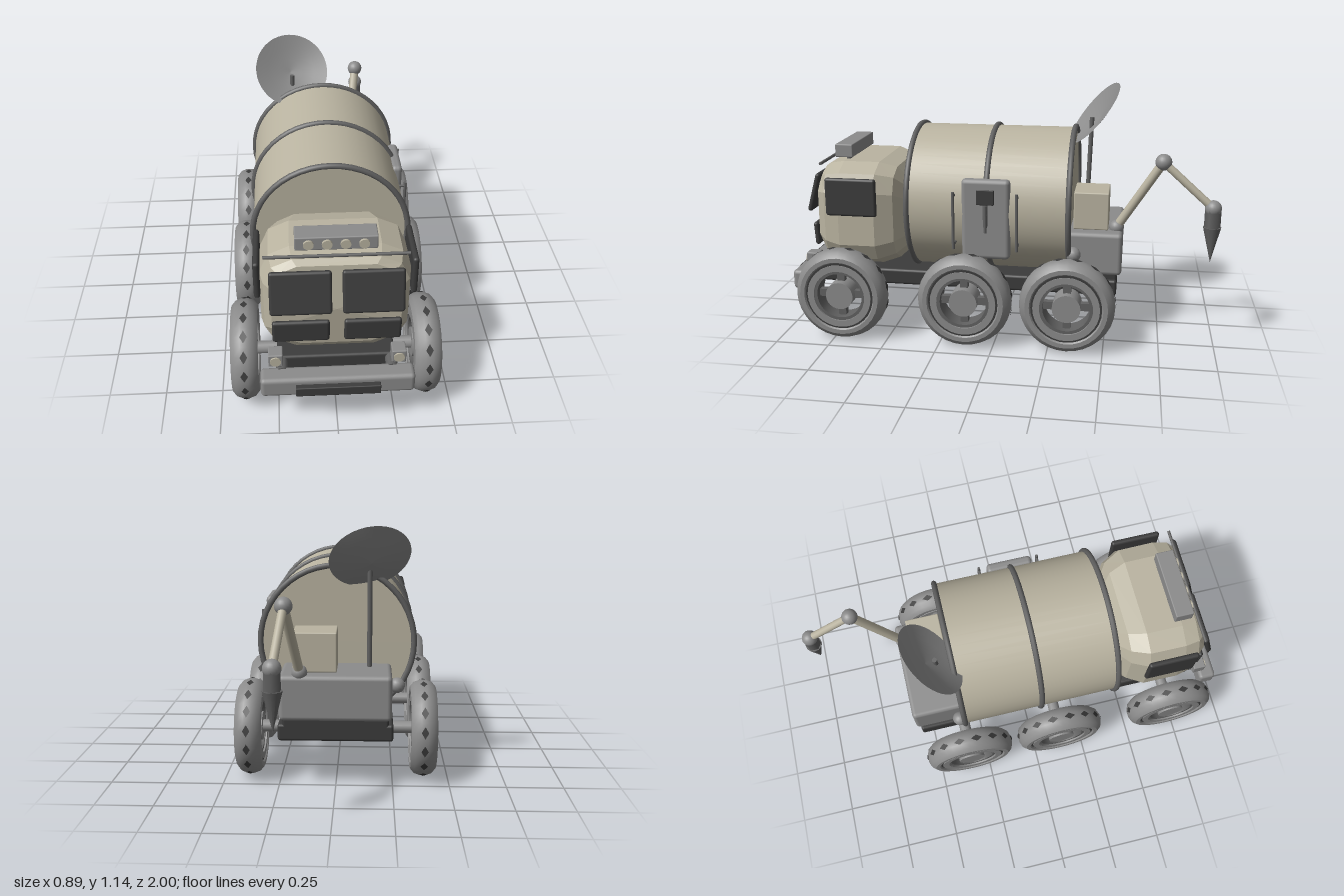
import * as THREE from 'three';
import { RoundedBoxGeometry } from 'three/addons/geometries/RoundedBoxGeometry.js';
import { toCreasedNormals } from 'three/addons/utils/BufferGeometryUtils.js';

const mat = (name, color, extra = {}) => new THREE.MeshStandardMaterial({ name, color, ...extra });

export function createModel() {
  const beige = mat('beige paint', 0xbab4a1);
  const beigeFlat = mat('beige paint', 0xbab4a1, { flatShading: true });
  const grey = mat('grey metal', 0x8c8c8c, { side: THREE.DoubleSide });
  const steel = mat('dark steel', 0x626262);
  const dark = mat('dark glass', 0x3c3c3c);
  const model = new THREE.Group();

  const add = (name, geo, material, x = 0, y = 0, z = 0, parent = model) => {
    const m = new THREE.Mesh(geo, material);
    m.name = name;
    m.position.set(x, y, z);
    parent.add(m);
    return m;
  };
  const box = (w, h, d, r = 0.012) => new RoundedBoxGeometry(w, h, d, 2, r);
  const cyl = (r, h, n = 16) => new THREE.CylinderGeometry(r, r, h, n);
  const rod = (name, a, b, r, material) => {
    const A = new THREE.Vector3(...a), B = new THREE.Vector3(...b);
    const m = add(name, cyl(r, A.distanceTo(B), 12), material);
    m.position.copy(A).add(B).multiplyScalar(0.5);
    m.quaternion.setFromUnitVectors(new THREE.Vector3(0, 1, 0), B.sub(A).normalize());
    return m;
  };

  // Chassis and rear deck
  add('chassis', box(0.5, 0.075, 1.4), dark, 0, 0.258, 0.15);
  add('rearDeck', box(0.485, 0.2, 0.27, 0.02), grey, 0, 0.415, -0.435);
  add('rearDeckBase', box(0.46, 0.06, 0.22), dark, 0, 0.3, -0.44);

  // Tank with three hoops
  const tankY = 0.613;
  add('tank', new THREE.CylinderGeometry(0.34, 0.34, 0.735, 48), beige, 0, tankY, 0.0375).rotation.x = Math.PI / 2;
  for (const z of [0.405, 0.04, -0.33])
    add('tankHoop', new THREE.TorusGeometry(0.343, 0.013, 8, 48), steel, 0, tankY, z);

  // Cab: faceted shell lofted from front to back
  const outline = [[1, -0.5], [1, 0.5], [0.88, 0.84], [0.6, 1], [-0.6, 1], [-0.88, 0.84],
    [-1, 0.5], [-1, -0.5], [-0.88, -0.8], [-0.55, -1], [0.55, -1], [0.88, -0.8]];
  const sections = [[0.45, 0.20, 0.54, 0.18], [0.49, 0.265, 0.55, 0.225], [0.57, 0.308, 0.55, 0.25],
    [0.74, 0.31, 0.55, 0.25], [0.81, 0.295, 0.555, 0.232], [0.86, 0.265, 0.565, 0.205]];
  const pos = [], idx = [], n = outline.length, last = sections.length - 1;
  sections.forEach(([z, w, yc, h], i) => {
    for (const [u, v] of outline) {
      const y = yc + v * h;
      pos.push(u * w, y, i === last ? z - 0.12 * Math.abs(y - 0.56) : z);
    }
    if (i < last) for (let j = 0; j < n; j++) {
      const a = i * n + j, b = i * n + (j + 1) % n;
      idx.push(a, b, b + n, a, b + n, a + n);
    }
  });
  pos.push(0, 0.54, 0.45, 0, 0.565, 0.86);
  const c0 = n * sections.length;
  for (let j = 0; j < n; j++) {
    const k = (j + 1) % n;
    idx.push(c0, k, j, c0 + 1, last * n + j, last * n + k);
  }
  const shell = new THREE.BufferGeometry();
  shell.setAttribute('position', new THREE.Float32BufferAttribute(pos, 3));
  shell.setIndex(idx);
  const cabGeo = shell.toNonIndexed();
  cabGeo.computeVertexNormals();
  add('cab', cabGeo, beigeFlat);

  // Cab windows and headlights, mirrored
  for (const s of [-1, 1]) {
    add('windshield', box(0.25, 0.188, 0.024), dark, s * 0.146, 0.662, 0.867).rotation.x = -0.27;
    add('lowerWindow', box(0.235, 0.11, 0.024), dark, s * 0.147, 0.46, 0.866).rotation.x = 0.06;
    add('sideWindow', box(0.026, 0.178, 0.24), dark, s * 0.321, 0.661, 0.67);
    add('headlight', box(0.06, 0.062, 0.06, 0.005), grey, s * 0.255, 0.339, 0.885);
    add('headlightLens', cyl(0.023, 0.008, 20), beige, s * 0.255, 0.339, 0.917).rotation.x = Math.PI / 2;
    rod('bumperMount', [s * 0.23, 0.27, 0.8], [s * 0.23, 0.27, 0.91], 0.025, steel);
  }

  // Roof light bar and rail
  add('lightBar', box(0.33, 0.062, 0.085, 0.005), grey, 0, 0.843, 0.747);
  for (let i = 0; i < 4; i++)
    add('roofLamp', cyl(0.021, 0.012, 20), beige, (i - 1.5) * 0.0735, 0.843, 0.793).rotation.x = Math.PI / 2;
  for (const s of [-1, 1])
    rod('lightBarFoot', [s * 0.12, 0.78, 0.735], [s * 0.12, 0.82, 0.735], 0.012, steel);
  rod('roofRail', [-0.29, 0.807, 0.818], [0.29, 0.807, 0.818], 0.007, steel);

  // Front bumper
  add('bumper', box(0.64, 0.093, 0.085, 0.018), grey, 0, 0.242, 0.934);
  add('bumperGrille', box(0.35, 0.045, 0.03, 0.004), dark, 0, 0.241, 0.985);

  // Wheels
  const R = 0.218, V2 = (x, y) => new THREE.Vector2(x, y);
  const tireGeo = toCreasedNormals(new THREE.LatheGeometry(
    [[0.155, -0.045], [0.165, -0.057], [0.185, -0.057], [0.206, -0.04], [0.215, -0.015], [0.215, 0.015],
      [0.206, 0.04], [0.185, 0.057], [0.165, 0.057], [0.155, 0.045]].map(p => V2(...p)), 32), 0.6);
  const ringGeo = (r0, r1, h) => toCreasedNormals(new THREE.LatheGeometry(
    [V2(r0, -h), V2(r1, -h), V2(r1, h), V2(r0, h), V2(r0, -h)], 32), 0.6);
  const bandGeo = ringGeo(0.148, 0.168, 0.05), rimGeo = ringGeo(0.12, 0.15, 0.054), innerGeo = ringGeo(0.106, 0.122, 0.046);
  const diamond = new THREE.CircleGeometry(1, 4);
  const makeWheel = (x, z) => {
    const w = new THREE.Group();
    w.name = 'wheel';
    w.position.set(x, 0.22, z);
    w.rotation.z = -Math.sign(x) * Math.PI / 2;
    model.add(w);
    add('tire', tireGeo, grey, 0, 0, 0, w);
    add('sidewallBand', bandGeo, dark, 0, 0, 0, w);
    add('rim', rimGeo, grey, 0, 0, 0, w);
    add('innerRim', innerGeo, steel, 0, 0, 0, w);
    add('hub', cyl(0.064, 0.1, 24), grey, 0, 0, 0, w);
    for (let i = 0; i < 4; i++) {
      const a = i * Math.PI / 2;
      const spoke = add('spoke', new THREE.BoxGeometry(0.06, 0.03, 0.035), steel, 0.085 * Math.cos(a), 0, 0.085 * Math.sin(a), w);
      spoke.rotation.y = -a;
    }
    // Diamond tread marks around the tire
    for (let i = 0; i < 16; i++) {
      const a = (i + 0.5) * Math.PI / 8;
      const d = add('treadMark', diamond, dark, R * Math.sin(a), 0, R * Math.cos(a), w);
      d.rotation.y = a;
      d.scale.set(0.027, 0.016, 1);
    }
  };
  for (const z of [0.708, 0.13, -0.336]) {
    for (const s of [-1, 1]) makeWheel(s * 0.387, z);
    rod('axle', [-0.36, 0.22, z], [0.36, 0.22, z], 0.028, grey);
  }
  for (const s of [-1, 1])
    add('deckCap', new THREE.SphereGeometry(0.035, 16, 10), grey, s * 0.27, 0.42, -0.35);

  // Side hatch on the left flank
  add('hatch', box(0.05, 0.37, 0.22, 0.02), grey, 0.322, 0.587, 0.04);
  add('hatchWindow', box(0.01, 0.07, 0.08, 0.004), dark, 0.349, 0.693, 0.04);
  rod('hatchHandle', [0.351, 0.53, 0.04], [0.351, 0.655, 0.04], 0.007, steel);
  for (const z of [0.185, -0.103]) {
    rod('grabRail', [0.357, 0.45, z], [0.357, 0.715, z], 0.007, steel);
    for (const y of [0.47, 0.695]) rod('grabRailStub', [0.29, y, z], [0.357, y, z], 0.006, steel);
  }

  // Equipment box
  add('equipmentBox', box(0.19, 0.175, 0.16, 0.006), beige, 0.09, 0.602, -0.423);

  // Dish antenna on its mast
  rod('dishMast', [-0.145, 0.5, -0.385], [-0.145, 0.98, -0.4], 0.011, steel);
  const facing = new THREE.Vector3(0.2, 0.62, 0.76).normalize();
  const dish = add('dish', new THREE.LatheGeometry(
    [V2(0, -0.035), V2(0.06, -0.028), V2(0.12, -0.015), V2(0.18, 0.003)], 40), grey, -0.145, 1.0, -0.415);
  dish.quaternion.setFromUnitVectors(new THREE.Vector3(0, 1, 0), facing);

  // Sampling arm
  const base = [0.153, 0.525, -0.54], elbow = [0.197, 0.847, -0.737], wrist = [0.22, 0.65, -0.962];
  rod('lowerArm', base, elbow, 0.021, beige);
  rod('upperArm', elbow, wrist, 0.018, beige);
  [base, elbow, wrist].forEach((p, i) =>
    add('armJoint', new THREE.SphereGeometry(i ? 0.037 : 0.034, 20, 14), grey, ...p));
  add('toolBody', cyl(0.036, 0.09, 6), steel, wrist[0], 0.605, wrist[2]);
  add('toolTip', new THREE.ConeGeometry(0.04, 0.165, 12), steel, wrist[0], 0.482, wrist[2]).rotation.x = Math.PI;

  return model;
}
